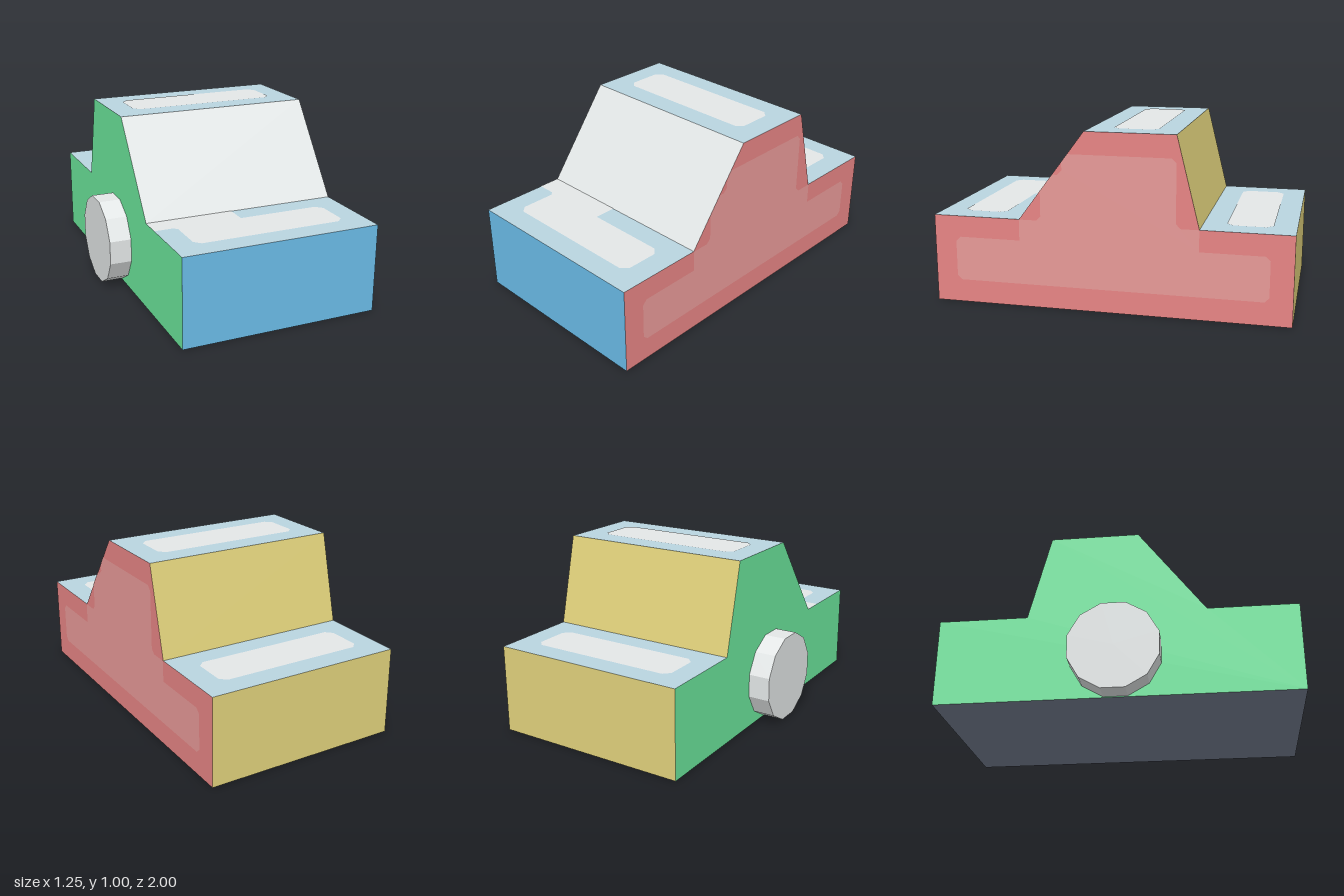
import * as THREE from 'three';

const LEFT = 0.625, RIGHT = -0.5, LIFT = 0.002;

const makeMaterial = (name, color) => {
  const m = new THREE.MeshStandardMaterial({ color });
  m.name = name;
  return m;
};

// Flat outline; corners flagged with a third value are cut off by that amount
function outline(points) {
  const out = [];
  points.forEach(([x, y, cut], i) => {
    const p = new THREE.Vector2(x, y);
    if (!cut) return out.push(p);
    for (const step of [points.length - 1, 1]) {
      const q = points[(i + step) % points.length];
      const dir = new THREE.Vector2(q[0] - x, q[1] - y).normalize();
      out.push(p.clone().addScaledVector(dir, cut));
    }
  });
  return new THREE.ShapeGeometry(new THREE.Shape(out));
}

// One flat panel spanning the body width between two profile points (z, y)
function panel([za, ya], [zb, yb]) {
  const g = new THREE.BufferGeometry();
  g.setAttribute('position', new THREE.Float32BufferAttribute([
    RIGHT, ya, za, LEFT, ya, za, LEFT, yb, zb, RIGHT, yb, zb], 3));
  g.setIndex([0, 1, 2, 0, 2, 3]);
  g.computeVertexNormals();
  return g;
}

export function createModel() {
  const model = new THREE.Group();
  model.name = 'blockCar';

  const white = makeMaterial('white', 0xe3e7e7);
  const blue = makeMaterial('blue', 0x6bbde9);
  const paleBlue = makeMaterial('paleBlue', 0xb9d4df);
  const red = makeMaterial('red', 0xe78484);
  const paleRed = makeMaterial('paleRed', 0xe89a98);
  const yellow = makeMaterial('yellow', 0xe0d17b);
  const green = makeMaterial('green', 0x6eeb9f);
  const slate = makeMaterial('slate', 0x767f91);

  const add = (name, geometry, material) => {
    const mesh = new THREE.Mesh(geometry, material);
    mesh.name = name;
    model.add(mesh);
    return mesh;
  };

  // Body shell: side profile (z, y) walked from the front over the roof
  const profile = [[1, 0], [1, 0.5], [0.5, 0.5], [0.125, 1],
    [-0.375, 1], [-0.5, 0.5], [-1, 0.5], [-1, 0]];
  const panels = [['frontPanel', blue], ['bonnet', paleBlue], ['windscreen', white],
    ['roof', paleBlue], ['rearWindow', yellow], ['bootLid', paleBlue],
    ['rearPanel', yellow], ['underside', slate]];
  panels.forEach(([name, material], i) =>
    add(name, panel(profile[i], profile[(i + 1) % profile.length]), material));

  // Sides
  const leftSide = (points) =>
    outline(points.map(([z, y, cut]) => [-z, y, cut])).rotateY(Math.PI / 2);
  add('leftSide', leftSide(profile), red).position.x = LEFT;
  add('rightSide', outline(profile).rotateY(-Math.PI / 2), green).position.x = RIGHT;

  // Stepped pale field on the left side
  const c = 0.025;
  add('leftSidePatch', leftSide([
    [0.875, 0.13, c], [-0.875, 0.13, c], [-0.875, 0.38, c], [-0.5, 0.38],
    [-0.5, 0.5], [-0.375, 0.5, c], [-0.375, 0.875, c], [0.219, 0.875],
    [0.25, 0.833], [0.25, 0.76, c], [0.305, 0.76], [0.375, 0.667],
    [0.375, 0.5, c], [0.5, 0.5], [0.5, 0.38], [0.875, 0.38, c],
  ]), paleRed).position.x = LEFT + LIFT;

  // Pale fields on the upward faces, given as (x, z)
  const topPatch = (name, points, y) => add(name,
    outline(points.map(([x, z, cut]) => [x, -z, cut])).rotateX(-Math.PI / 2),
    white).position.y = y + LIFT;
  const t = 0.035;
  const rectangle = (z0, z1) =>
    [[-0.375, z1, t], [0.495, z1, t], [0.495, z0, t], [-0.375, z0, t]];
  topPatch('bootPatch', rectangle(-0.875, -0.625), 0.5);
  topPatch('roofPatch', rectangle(-0.25, 0), 1);
  topPatch('bonnetPatch', [
    [-0.375, 0.875, t], [0.495, 0.875, t], [0.495, 0.625, t], [0, 0.625],
    [0, 0.5], [-0.5, 0.5], [-0.5, 0.625], [-0.375, 0.625, 0.02],
  ], 0.5);

  // Single twelve-sided wheel on the right side
  const wheel = new THREE.CylinderGeometry(0.256, 0.256, 0.125, 12)
    .rotateZ(Math.PI / 2).rotateX(Math.PI / 12).toNonIndexed();
  wheel.computeVertexNormals();
  add('wheel', wheel, white).position.set(RIGHT - 0.0625, 0.252, -0.002);

  return model;
}
